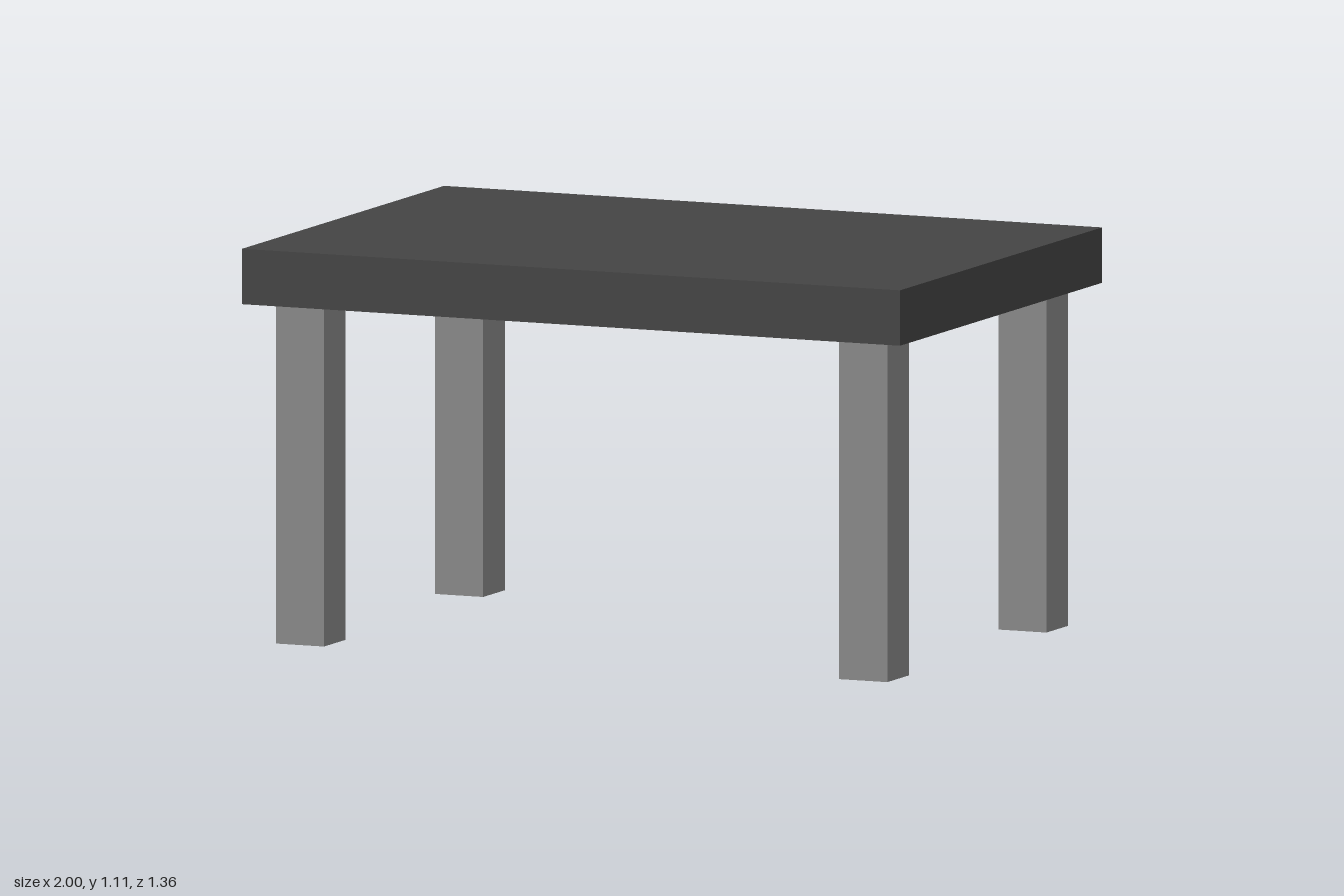
import * as THREE from 'three';

export function createModel() {
  const model = new THREE.Group();
  model.name = 'table';

  const topMaterial = new THREE.MeshStandardMaterial({ color: 0x444444 });
  const legMaterial = new THREE.MeshStandardMaterial({ color: 0x8a8a8a });

  // Thick slab top
  const legHeight = 0.955, topThickness = 0.155;
  const top = new THREE.Mesh(new THREE.BoxGeometry(2, topThickness, 1.364), topMaterial);
  top.name = 'tableTop';
  top.position.y = legHeight + topThickness / 2;
  model.add(top);

  // Four square legs, set in from the corners
  const legGeometry = new THREE.BoxGeometry(0.146, legHeight, 0.146);
  for (const [side, x] of [['Left', 0.856], ['Right', -0.856]]) {
    for (const [end, z] of [['front', 0.537], ['back', -0.537]]) {
      const leg = new THREE.Mesh(legGeometry, legMaterial);
      leg.name = `${end}${side}Leg`;
      leg.position.set(x, legHeight / 2, z);
      model.add(leg);
    }
  }

  return model;
}
